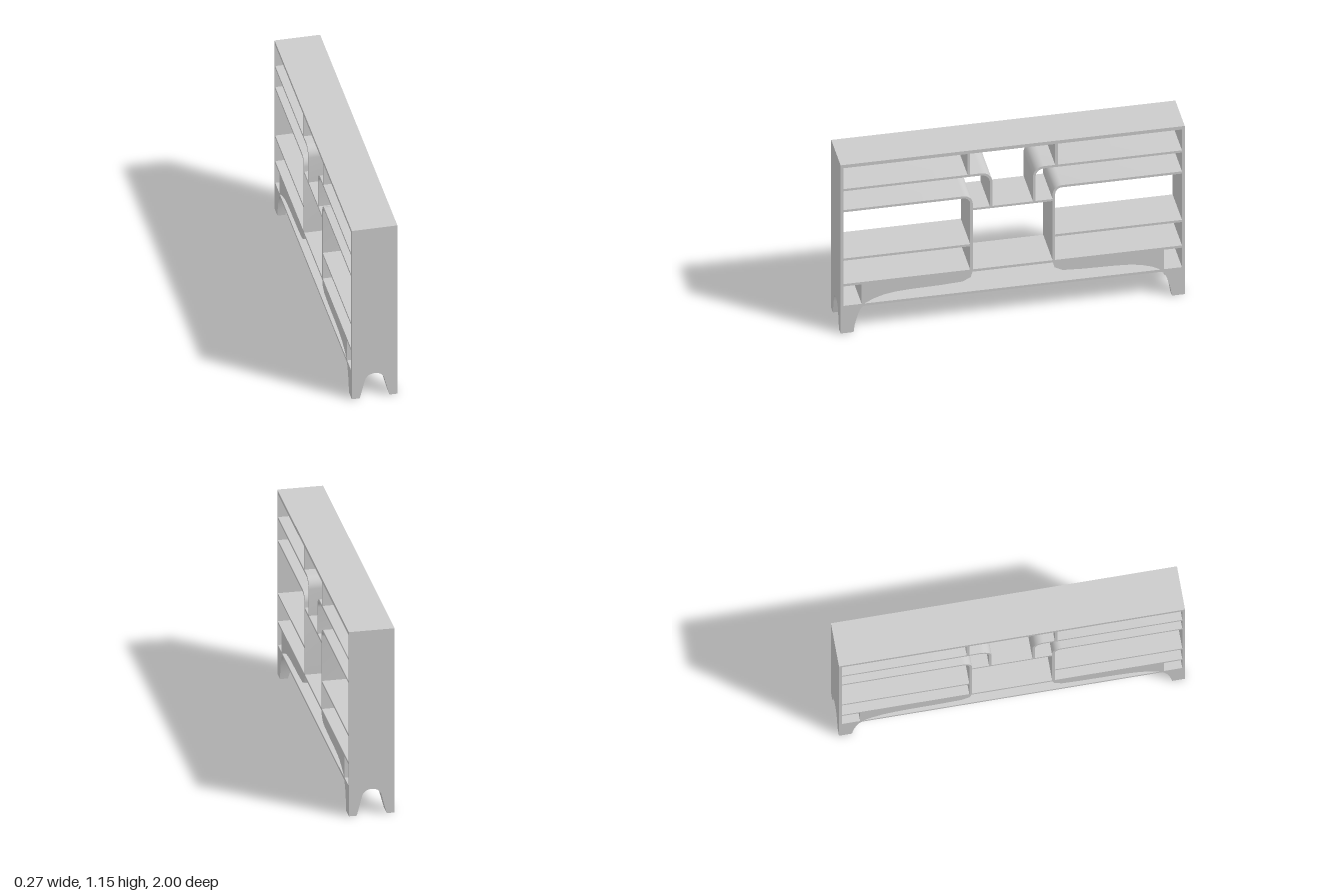
import * as THREE from 'three';
import { toCreasedNormals } from 'three/addons/utils/BufferGeometryUtils.js';

const HALF_DEPTH = 0.133, HEIGHT = 1.152, INNER = 0.984;
const material = new THREE.MeshStandardMaterial({ color: 0xcccccc });

export function createModel() {
  const group = new THREE.Group();

  const add = (name, geometry) => {
    const mesh = new THREE.Mesh(geometry, material);
    mesh.name = name;
    group.add(mesh);
  };

  // Full-depth board between two heights and two positions along the length
  const board = (name, z0, z1, y0, y1) => {
    const g = new THREE.BoxGeometry(2 * HALF_DEPTH, y1 - y0, Math.abs(z1 - z0));
    g.translate(0, (y0 + y1) / 2, (z0 + z1) / 2);
    add(name, g);
  };

  // Side profile (z, y) extruded through the depth
  const profile = (name, points, s) => {
    const shape = new THREE.Shape(points.map(([z, y]) => new THREE.Vector2(z * s, y)));
    const g = new THREE.ExtrudeGeometry(shape, { depth: 2 * HALF_DEPTH, bevelEnabled: false });
    g.translate(0, 0, -HALF_DEPTH).rotateY(-Math.PI / 2);
    add(name, toCreasedNormals(g, 0.5));
  };

  // Boards that run across the whole piece
  board('topBoard', -1, 1, 1.13, HEIGHT);
  board('bottomShelf', -INNER, INNER, 0.171, 0.187);
  board('lowerShelf', -INNER, INNER, 0.32, 0.336);
  board('centreShelf', -0.234, 0.234, 0.741, 0.755);

  for (const s of [1, -1]) {
    const side = s > 0 ? 'front' : 'back';
    board(side + 'EndPanel', s * INNER, s, 0.171, 1.13);
    board(side + 'TopDivider', s * 0.247, s * 0.262, 0.987, 1.13);
    board(side + 'MiddleShelf', s * 0.246, s * INNER, 0.496, 0.511);
    profile(side + 'UpperBentShelf', bentShelf(0.118, 0.987, 0.755, 0.065), s);
    profile(side + 'LowerBentShelf', bentShelf(0.232, 0.843, 0.336, 0.055), s);

    // Solid curved brace below the lower shelf
    profile(side + 'CurvedBrace', [
      [0.878, 0.32], [0.878, 0.187], [0.862, 0.187], [0.81, 0.214], [0.745, 0.235],
      [0.68, 0.245], [0.6, 0.25], [0.41, 0.254], [0.29, 0.261], [0.244, 0.285], [0.233, 0.32],
    ], s);

    for (const sx of [1, -1]) add(side + (sx > 0 ? 'Left' : 'Right') + 'Leg', legGeometry(sx, s));
  }
  return group;
}

// Outline of a shelf that bends down through a rounded corner
function bentShelf(z, top, bottom, radius) {
  const t = 0.015, cz = z + radius, cy = top - radius, steps = 8;
  const arc = (r) => Array.from({ length: steps + 1 }, (_, i) => {
    const a = Math.PI / 2 * (1 + i / steps);
    return [cz + r * Math.cos(a), cy + r * Math.sin(a)];
  });
  return [[INNER, top], ...arc(radius), [z, bottom], [z + t, bottom],
    ...arc(radius - t).reverse(), [INNER, top - t]];
}

// Leg lofted from rectangles: [height, arch half width, inner face position]
function legGeometry(sx, sz) {
  const rows = [
    [0, 0.087, 0.925], [0.05, 0.074, 0.918], [0.09, 0.064, 0.908], [0.125, 0.055, 0.897],
    [0.141, 0.045, 0.89], [0.153, 0.031, 0.883], [0.159, 0.012, 0.879], [0.16, 0, 0.878],
    [0.171, 0, 0.868],
  ];
  const pos = [], index = [];
  const flip = sx * sz < 0;
  const quad = (a, b, c, d) => index.push(...(flip ? [a, c, b, a, d, c] : [a, b, c, a, c, d]));
  rows.forEach(([y, x, z], r) => {
    for (const [px, pz] of [[x, z], [x, 1], [HALF_DEPTH, 1], [HALF_DEPTH, z]]) pos.push(px * sx, y, pz * sz);
    if (r === 0) return;
    const lo = (r - 1) * 4, hi = r * 4;
    for (let i = 0; i < 4; i++) {
      const j = (i + 1) % 4;
      if (i === 0 && x === 0 && rows[r - 1][1] === 0) continue;
      quad(lo + i, lo + j, hi + j, hi + i);
    }
  });
  const last = (rows.length - 1) * 4;
  quad(3, 2, 1, 0);
  quad(last, last + 1, last + 2, last + 3);
  const g = new THREE.BufferGeometry();
  g.setAttribute('position', new THREE.Float32BufferAttribute(pos, 3));
  g.setIndex(index);
  return toCreasedNormals(g, 0.5);
}
